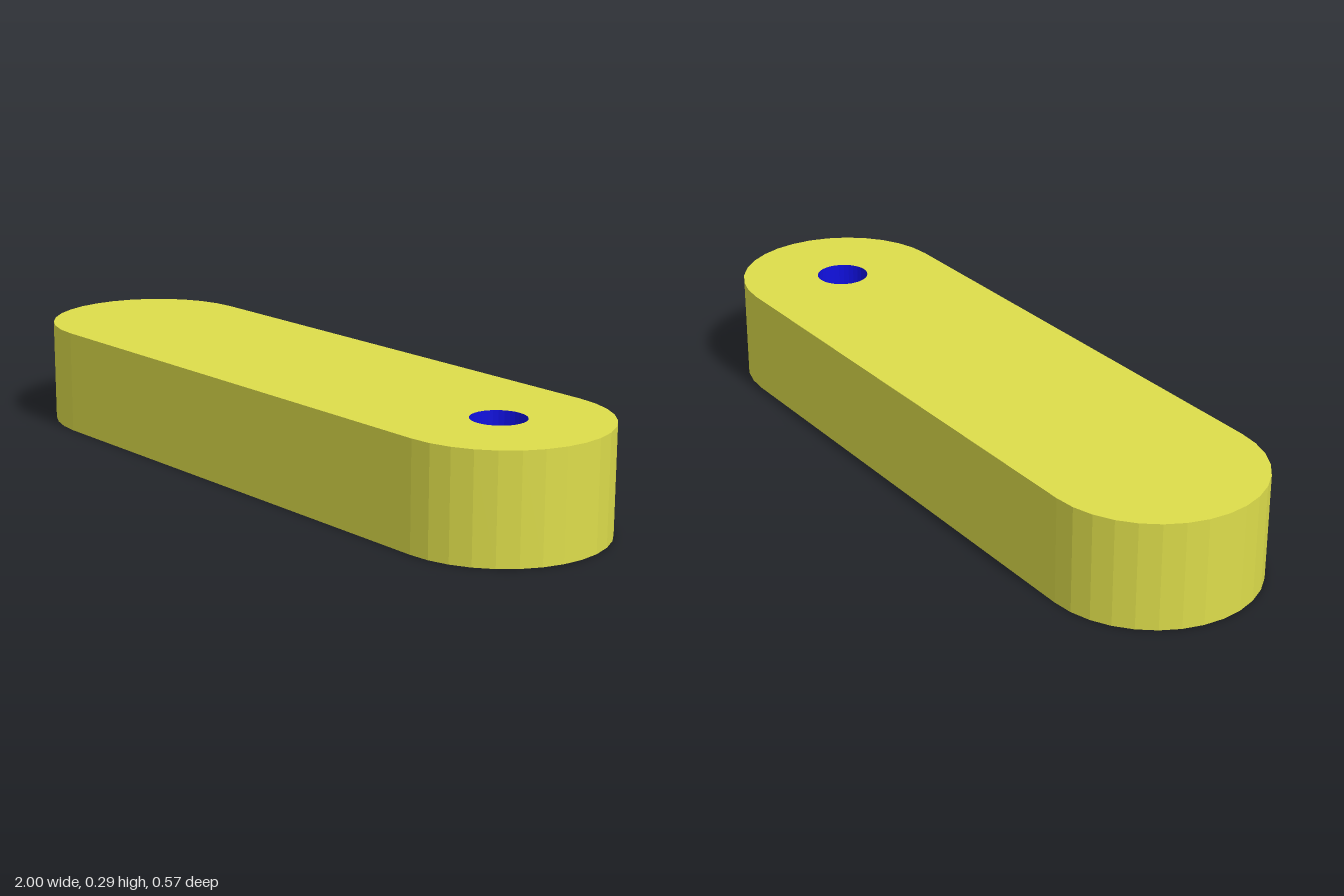
import * as THREE from 'three';

const R = 0.286;          // end radius, also the thickness
const CX = 1 - R;         // centre of each rounded end
const HOLE_R = 0.072;
const HOLE_SIDES = 32;

// Points along an arc, both ends included
function arc(cx, radius, start, sweep, steps) {
  return Array.from({ length: steps + 1 }, (_, i) => {
    const a = start + (sweep * i) / steps;
    return new THREE.Vector2(cx + radius * Math.cos(a), radius * Math.sin(a));
  });
}

// A mesh from the vertices start..end of a non-indexed geometry
function part(name, source, start, end, color) {
  const geometry = new THREE.BufferGeometry();
  for (const key of ['position', 'normal']) {
    const data = source.attributes[key].array.slice(start * 3, end * 3);
    geometry.setAttribute(key, new THREE.BufferAttribute(data, 3));
  }
  const mesh = new THREE.Mesh(geometry, new THREE.MeshStandardMaterial({ color, flatShading: true }));
  mesh.name = name;
  return mesh;
}

export function createModel() {
  const group = new THREE.Group();
  group.name = 'linkBar';

  // Bar outline with two rounded ends
  const outline = new THREE.Shape([
    ...arc(CX, R, -Math.PI / 2, Math.PI, 16),
    ...arc(-CX, R, Math.PI / 2, Math.PI, 16),
  ]);

  // Round hole through the left end
  const holePoints = arc(CX, HOLE_R, 0, Math.PI * 2, HOLE_SIDES).slice(0, -1);
  outline.holes.push(new THREE.Path(holePoints));

  const solid = new THREE.ExtrudeGeometry(outline, { depth: R, bevelEnabled: false });
  solid.rotateX(-Math.PI / 2);

  // The hole wall is the last run of side faces; it gets its own colour
  const total = solid.attributes.position.count;
  const split = total - HOLE_SIDES * 6;
  group.add(part('bar', solid, 0, split, 0xdddd4b));
  group.add(part('holeWall', solid, split, total, 0x1010e0));

  return group;
}
